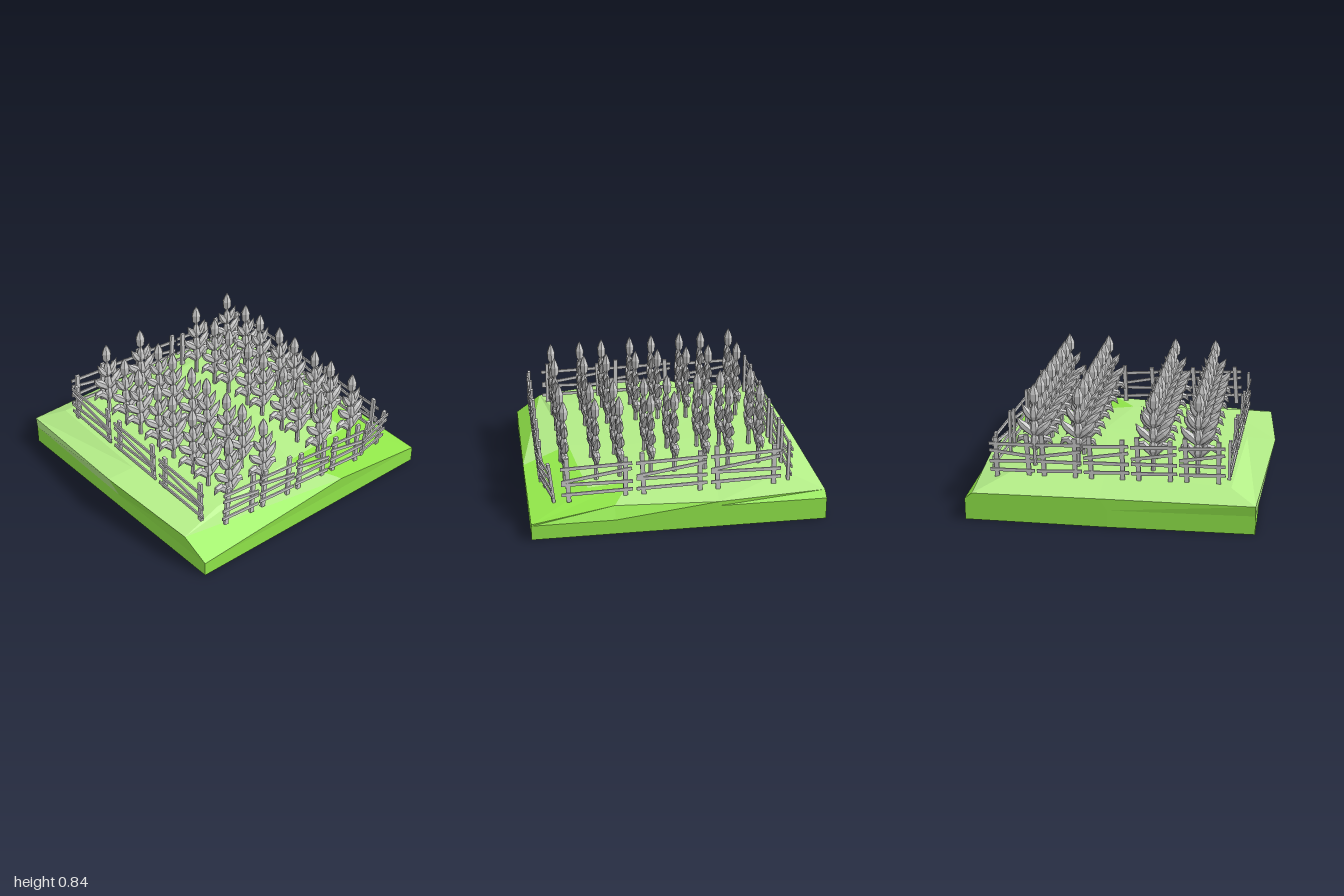
import * as THREE from 'three';

const GREY = new THREE.MeshStandardMaterial({ color: 0xcccccc, flatShading: true });
const PALE = new THREE.MeshStandardMaterial({ color: 0xb4ee88, flatShading: true });
const VIVID = new THREE.MeshStandardMaterial({ color: 0x92e84a, flatShading: true });

function mesh(name, geometry, material = GREY) {
  const m = new THREE.Mesh(geometry, material);
  m.name = name;
  return m;
}

function facesToGeometry(points) {
  const g = new THREE.BufferGeometry().setFromPoints(points);
  g.computeVertexNormals();
  return g;
}

// Faceted ground: base, rim, top and inner rings, closed by a centre point
function createGround() {
  const v = (x, y, z) => new THREE.Vector3(x, y, z);
  // base x, base z, rim y | top point | inner point
  const stations = [
    [-0.96, 0.92, 0.13, v(-0.97, 0.2, 0.92), v(-0.83, 0.265, 0.75)],
    [0.03, 0.92, 0.1, v(0.03, 0.28, 1), v(0.04, 0.285, 0.8)],
    [0.95, 0.92, 0.1, v(0.77, 0.22, 0.94), v(0.7, 0.25, 0.6)],
    [0.965, -0.04, 0.1, v(0.98, 0.2, -0.28), v(0.65, 0.25, -0.1)],
    [0.98, -1, 0.1, v(0.98, 0.11, -1), v(0.58, 0.2, -0.7)],
    [0.43, -1, 0.1, v(0.43, 0.18, -0.95), v(0.3, 0.22, -0.7)],
    [-0.25, -1, 0.15, v(-0.25, 0.18, -1), v(-0.3, 0.24, -0.6)],
    [-0.98, -1, 0.15, v(-0.98, 0.19, -0.95), v(-0.75, 0.25, -0.75)],
    [-0.98, -0.05, 0.12, v(-0.98, 0.2, -0.1), v(-0.7, 0.27, -0.1)],
  ];
  const base = stations.map(([x, z]) => v(x, 0, z));
  const rim = stations.map(([x, z, y]) => v(x, y, z));
  const top = stations.map((s) => s[3]);
  const inner = stations.map((s) => s[4]);
  const peak = v(0.1, 0.28, -0.22);
  const floor = v(0, 0, 0);
  const soil = [];
  const grass = [];
  const quad = (list, a, b, i, j) => list.push(a[i], a[j], b[j], a[i], b[j], b[i]);
  for (let i = 0; i < stations.length; i++) {
    const j = (i + 1) % stations.length;
    soil.push(base[j], base[i], floor);
    quad(soil, base, rim, i, j);
    quad(i === 0 ? grass : soil, rim, top, i, j);
    quad(i === 3 || i === 4 ? soil : grass, top, inner, i, j);
    grass.push(inner[i], inner[j], peak);
  }
  const group = new THREE.Group();
  group.name = 'ground';
  group.add(mesh('groundSides', facesToGeometry(soil), VIVID));
  group.add(mesh('grassTop', facesToGeometry(grass), PALE));
  return group;
}

// Pointed blade lofted along a path in the y-z plane; stations are [z, y, halfWidth]
function blade(stations, depth = 0.9, sides = 6) {
  const rings = stations.map(([z, y, r], i) => {
    const a = stations[Math.max(i - 1, 0)];
    const b = stations[Math.min(i + 1, stations.length - 1)];
    const len = Math.hypot(b[0] - a[0], b[1] - a[1]);
    const nz = (b[1] - a[1]) / len;
    const ny = -(b[0] - a[0]) / len;
    return Array.from({ length: sides }, (_, k) => {
      const t = (k / sides) * Math.PI * 2;
      const c = Math.cos(t) * r;
      return new THREE.Vector3(Math.sin(t) * r * depth, y + ny * c, z + nz * c);
    });
  });
  const pts = [];
  for (let i = 0; i < rings.length - 1; i++) {
    for (let k = 0; k < sides; k++) {
      const n = (k + 1) % sides;
      const [p, q] = [rings[i], rings[i + 1]];
      pts.push(p[k], p[n], q[n], p[k], q[n], q[k]);
    }
  }
  return facesToGeometry(pts);
}

// One crop plant: stalk, head and mirrored tiers of leaves
function createPlant() {
  const plant = new THREE.Group();
  plant.name = 'cornPlant';
  const stalk = mesh('stalk', new THREE.CylinderGeometry(0.012, 0.017, 0.54, 6));
  stalk.position.y = 0.47;
  plant.add(stalk);
  plant.add(mesh('head', blade([[0, 0.68, 0], [0, 0.72, 0.033], [0, 0.77, 0.037], [0, 0.81, 0.02], [0, 0.84, 0]], 0.85)));
  for (const y of [0.36, 0.46, 0.56]) {
    plant.add(mesh('husk', blade([[0, y, 0.008], [0, y + 0.05, 0.034], [0, y + 0.1, 0.026], [0, y + 0.15, 0]])));
  }
  const droop = blade([[0, 0.36, 0.006], [0.035, 0.42, 0.027], [0.07, 0.455, 0.028], [0.1, 0.45, 0.022], [0.128, 0.41, 0]]);
  const middle = blade([[0, 0.46, 0.006], [0.035, 0.505, 0.028], [0.075, 0.54, 0.03], [0.1, 0.565, 0.02], [0.12, 0.6, 0]]);
  const upper = blade([[0, 0.57, 0.006], [0.03, 0.61, 0.026], [0.055, 0.645, 0.025], [0.085, 0.7, 0]]);
  for (const turn of [0, Math.PI]) {
    for (const g of [droop, middle, upper]) {
      const leaf = mesh('leaf', g);
      leaf.rotation.y = turn;
      plant.add(leaf);
    }
  }
  return plant;
}

function createField() {
  const field = new THREE.Group();
  field.name = 'cornField';
  const plant = createPlant();
  const columns = [-0.6, -0.39, -0.23, -0.02, 0.14, 0.35, 0.51, 0.72];
  for (const [z, shift] of [[-0.6, 0], [-0.3, 0], [0.21, -0.015], [0.51, -0.015]]) {
    for (const x of columns) {
      const p = plant.clone();
      p.position.set(x + shift, -0.037 * (x + 0.6), z);
      field.add(p);
    }
  }
  return field;
}

// Fence panel between two ground points, posts on the inner side
function fencePanel([x0, y0, z0], [x1, y1, z1], index, lean = 0) {
  const panel = new THREE.Group();
  panel.name = 'fencePanel';
  const len = Math.hypot(x1 - x0, z1 - z0);
  const flip = index % 2 ? -1 : 1;
  for (const side of [-1, 1]) {
    const h = side === flip ? 0.31 : 0.29;
    const post = mesh('fencePost', new THREE.BoxGeometry(0.03, h, 0.02));
    post.position.set(side * (len / 2 - 0.045), h / 2 - 0.01, -0.013);
    post.rotation.z = 0.02 * side * flip;
    panel.add(post);
  }
  // Rail height and tilt; one rail has slipped to a slant
  for (const [y, tilt] of [[0.235, -0.02], [0.17, -0.14], [0.115, 0.02], [0.05, -0.015]]) {
    const rail = mesh('fenceRail', new THREE.BoxGeometry(len, 0.022, 0.01));
    rail.position.y = y;
    rail.rotation.z = tilt * flip;
    panel.add(rail);
  }
  panel.position.set((x0 + x1) / 2, (y0 + y1) / 2, (z0 + z1) / 2);
  panel.rotation.set(lean, Math.atan2(z0 - z1, x1 - x0), Math.atan2(y1 - y0, len), 'YXZ');
  return panel;
}

function createFence() {
  const fence = new THREE.Group();
  fence.name = 'fence';
  let count = 0;
  const add = (a, b, lean) => fence.add(fencePanel(a, b, count++, lean));
  // Front and back runs
  for (let i = 0; i < 3; i++) {
    const x = -0.74 + i * 0.515;
    add([x, 0.26 - i * 0.008, 0.74 + i * 0.013], [x + 0.47, 0.255 - i * 0.008, 0.75 + i * 0.013]);
    const bx = 0.765 - i * 0.495;
    add([bx, 0.18 + i * 0.015, -0.84 - i * 0.01], [bx - 0.47, 0.19 + i * 0.015, -0.85 - i * 0.01]);
  }
  // Right-hand and left-hand runs
  for (let i = 0; i < 5; i++) {
    const z = -0.87 + i * 0.319;
    const ly = 0.225 + i * 0.011;
    add([-0.765 - i * 0.006, ly, z], [-0.77 - i * 0.006, ly + 0.011, z + 0.305]);
    if (i === 0) continue;
    const ry = 0.165 + i * 0.018;
    add([0.89 - i * 0.004, ry + 0.018, z + 0.305], [0.895 - i * 0.004, ry, z]);
  }
  // Leaning corner panel
  add([0.875, 0.18, -0.55], [0.82, 0.165, -0.84], 0.13);
  return fence;
}

export function createModel() {
  const model = new THREE.Group();
  model.name = 'fencedCornField';
  model.add(createGround(), createField(), createFence());
  return model;
}
